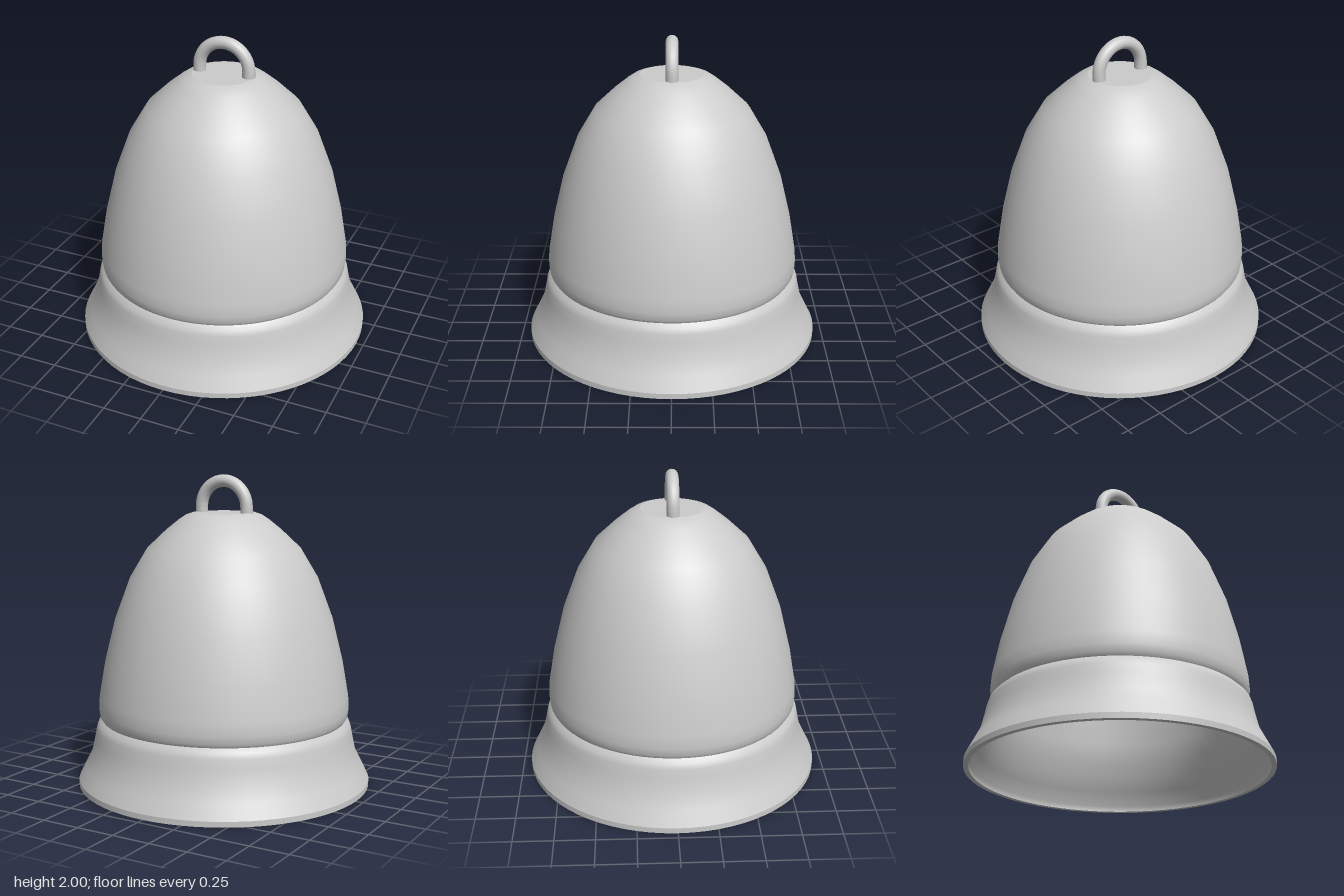
import * as THREE from 'three';

const material = new THREE.MeshStandardMaterial({ color: 0xcccccc, side: THREE.DoubleSide });

// Revolves a profile of [radius, height] pairs around the vertical axis
function revolve(name, profile) {
  const points = profile.map(([r, y]) => new THREE.Vector2(r, y));
  const mesh = new THREE.Mesh(new THREE.LatheGeometry(points, 72), material);
  mesh.name = name;
  return mesh;
}

export function createModel() {
  const bell = new THREE.Group();
  bell.name = 'bell';

  // Outer wall: rim edge, flared skirt, then the dome above the groove
  const skirt = [[0.952, 0.035], [0.907, 0.125], [0.865, 0.21], [0.843, 0.31], [0.832, 0.37],
    [0.82, 0.405], [0.794, 0.43]];
  const dome = [[0.794, 0.43], [0.808, 0.452], [0.814, 0.5], [0.81, 0.58], [0.77, 0.81], [0.702, 1.085],
    [0.605, 1.345], [0.492, 1.535], [0.37, 1.65], [0.29, 1.715], [0.245, 1.745], [0.2, 1.76]];
  bell.add(revolve('rimEdge', [[0.952, 0], [0.952, 0.035]]));
  bell.add(revolve('skirt', skirt));
  bell.add(revolve('dome', dome));
  bell.add(revolve('flatTop', [[0.2, 1.76], [0, 1.76]]));

  // Hollow inside and the thin ring joining it to the rim
  bell.add(revolve('innerWall', [[0, 1.73], [0.19, 1.73], [0.28, 1.685], [0.355, 1.62], [0.467, 1.512],
    [0.577, 1.33], [0.672, 1.075], [0.74, 0.8], [0.778, 0.58], [0.775, 0.43], [0.81, 0.31],
    [0.835, 0.21], [0.877, 0.125], [0.92, 0.035], [0.92, 0]]));
  bell.add(revolve('rimBottom', [[0.92, 0], [0.952, 0]]));

  // Hanging loop: a half circle on two short straight legs
  const radius = 0.165, centerY = 1.795, footY = 1.745;
  const path = new THREE.CurvePath();
  const arc = [];
  for (let i = 0; i <= 16; i++) {
    const a = Math.PI * i / 16;
    arc.push(new THREE.Vector3(radius * Math.cos(a), centerY + radius * Math.sin(a), 0));
  }
  path.add(new THREE.LineCurve3(new THREE.Vector3(radius, footY, 0), arc[0]));
  path.add(new THREE.CatmullRomCurve3(arc));
  path.add(new THREE.LineCurve3(arc[16], new THREE.Vector3(-radius, footY, 0)));
  const loop = new THREE.Mesh(new THREE.TubeGeometry(path, 48, 0.04, 16), material);
  loop.name = 'hangingLoop';
  bell.add(loop);

  return bell;
}
